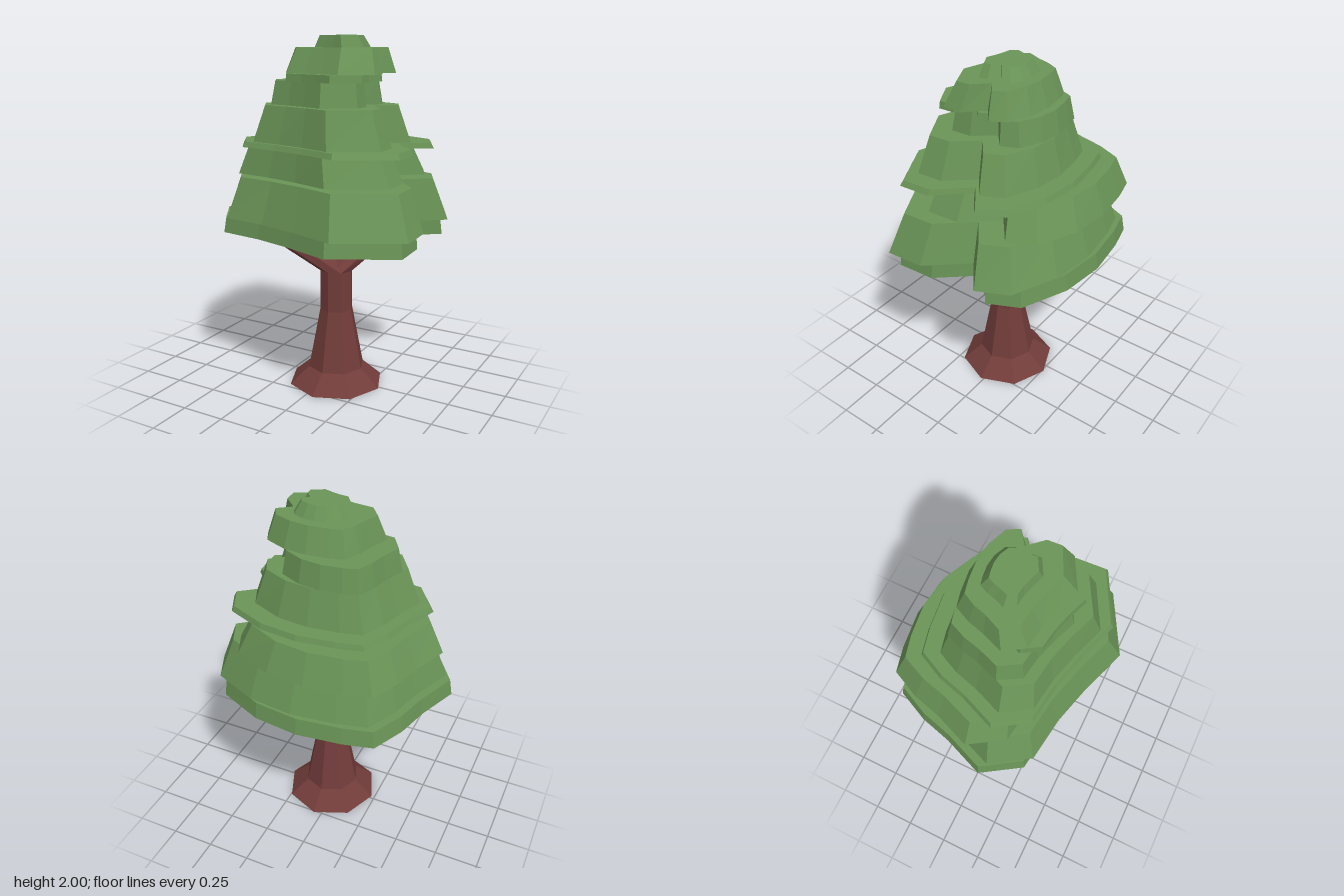
import * as THREE from 'three';

const LEAF = new THREE.MeshStandardMaterial({ color: 0x6a9457, flatShading: true });
const BARK = new THREE.MeshStandardMaterial({ color: 0x713c3a, flatShading: true });

// Foliage outline [x, z], running left, front, right, back, with a notch on +x
const OUTLINE = [
  [-0.60, 0.145], [-0.46, 0.36], [-0.205, 0.395], [0.04, 0.46], [0.30, 0.55], [0.645, 0.36],
  [0.633, 0.147], [0.45, -0.065], [0.63, -0.21], [0.55, -0.38], [0.295, -0.49], [0.04, -0.52],
  [-0.21, -0.49], [-0.375, -0.45], [-0.46, -0.27], [-0.51, -0.085],
];
const [X0, X1, Z0, Z1] = [-0.60, 0.645, -0.52, 0.55];

// Foliage tiers, bottom and top of each: [y, xMin, xMax, zMin, zMax]
const TIERS = [
  [[0.905, -0.65, 0.60, -0.555, 0.525], [1.00, -0.635, 0.59, -0.54, 0.51]],
  [[1.00, -0.60, 0.645, -0.52, 0.555], [1.23, -0.52, 0.56, -0.445, 0.47]],
  [[1.23, -0.60, 0.47, -0.545, 0.38], [1.40, -0.52, 0.39, -0.485, 0.34]],
  [[1.40, -0.50, 0.565, -0.42, 0.47], [1.43, -0.485, 0.55, -0.41, 0.455]],
  [[1.43, -0.42, 0.45, -0.32, 0.42], [1.63, -0.345, 0.38, -0.27, 0.37]],
  [[1.63, -0.33, 0.27, -0.27, 0.30], [1.76, -0.305, 0.25, -0.245, 0.275]],
  [[1.76, -0.20, 0.315, -0.14, 0.32], [1.80, -0.195, 0.31, -0.135, 0.315]],
  [[1.80, -0.245, 0.355, -0.25, 0.265], [1.935, -0.20, 0.31, -0.205, 0.19]],
  [[1.935, -0.095, 0.21, -0.15, 0.108], [2.00, -0.06, 0.175, -0.112, 0.09]],
];

// Closed solid through a stack of rings with equal point counts
function loft(rings) {
  const pos = [];
  const tri = (...pts) => pts.forEach((p) => pos.push(...p));
  const n = rings[0].length;
  for (let k = 0; k + 1 < rings.length; k++) {
    const [lo, hi] = [rings[k], rings[k + 1]];
    for (let i = 0; i < n; i++) {
      const j = (i + 1) % n;
      tri(lo[i], lo[j], hi[j]);
      tri(lo[i], hi[j], hi[i]);
    }
  }
  const [first, last] = [rings[0], rings[rings.length - 1]];
  const cap = (ring) =>
    THREE.ShapeUtils.triangulateShape(ring.map((p) => new THREE.Vector2(p[0], -p[2])), []);
  cap(first).forEach(([a, b, c]) => tri(first[c], first[b], first[a]));
  cap(last).forEach(([a, b, c]) => tri(last[a], last[b], last[c]));
  const geo = new THREE.BufferGeometry();
  geo.setAttribute('position', new THREE.Float32BufferAttribute(pos, 3));
  geo.computeVertexNormals();
  return geo;
}

// Outline stretched into a box at one height
const tierRing = ([y, xa, xb, za, zb]) => OUTLINE.map(([x, z]) => [
  xa + ((x - X0) / (X1 - X0)) * (xb - xa), y, za + ((z - Z0) / (Z1 - Z0)) * (zb - za)]);

// Eight-sided ring; it dips by (sx, sz) per unit along x and z
function octagon(cx, cy, cz, r, sx = 0, sz = 0) {
  return Array.from({ length: 8 }, (_, i) => {
    const t = (i * Math.PI) / 4;
    const [dx, dz] = [-Math.cos(t) * r, Math.sin(t) * r];
    return [cx + dx, cy - sx * dx - sz * dz, cz + dz];
  });
}

export function createModel() {
  const tree = new THREE.Group();
  tree.name = 'tree';
  const add = (name, rings, material, parent = tree) => {
    const mesh = new THREE.Mesh(loft(rings), material);
    mesh.name = name;
    parent.add(mesh);
  };

  // Trunk with flared foot
  const [cx, cz] = [0.048, 0.018];
  const trunk = [[0, 0.278], [0.1, 0.165], [0.45, 0.097], [0.685, 0.095]];
  add('trunk', trunk.map(([y, r]) => octagon(cx, y, cz, r)), BARK);

  // Two branches, both growing from the whole trunk top and bending upright
  const fork = octagon(cx, 0.685, cz, 0.095);
  add('leftBranch', [fork, octagon(0.2, 0.842, -0.137, 0.062, 0.4, -0.3),
    octagon(0.215, 0.93, -0.14, 0.058)], BARK);
  add('rightBranch', [fork, octagon(-0.175, 0.86, 0.15, 0.06, -0.3, 0.25),
    octagon(-0.178, 0.93, 0.157, 0.06)], BARK);

  // Stacked foliage tiers
  const foliage = new THREE.Group();
  foliage.name = 'foliage';
  tree.add(foliage);
  TIERS.forEach((tier, i) => add(`foliageTier${i + 1}`, tier.map(tierRing), LEAF, foliage));
  return tree;
}
